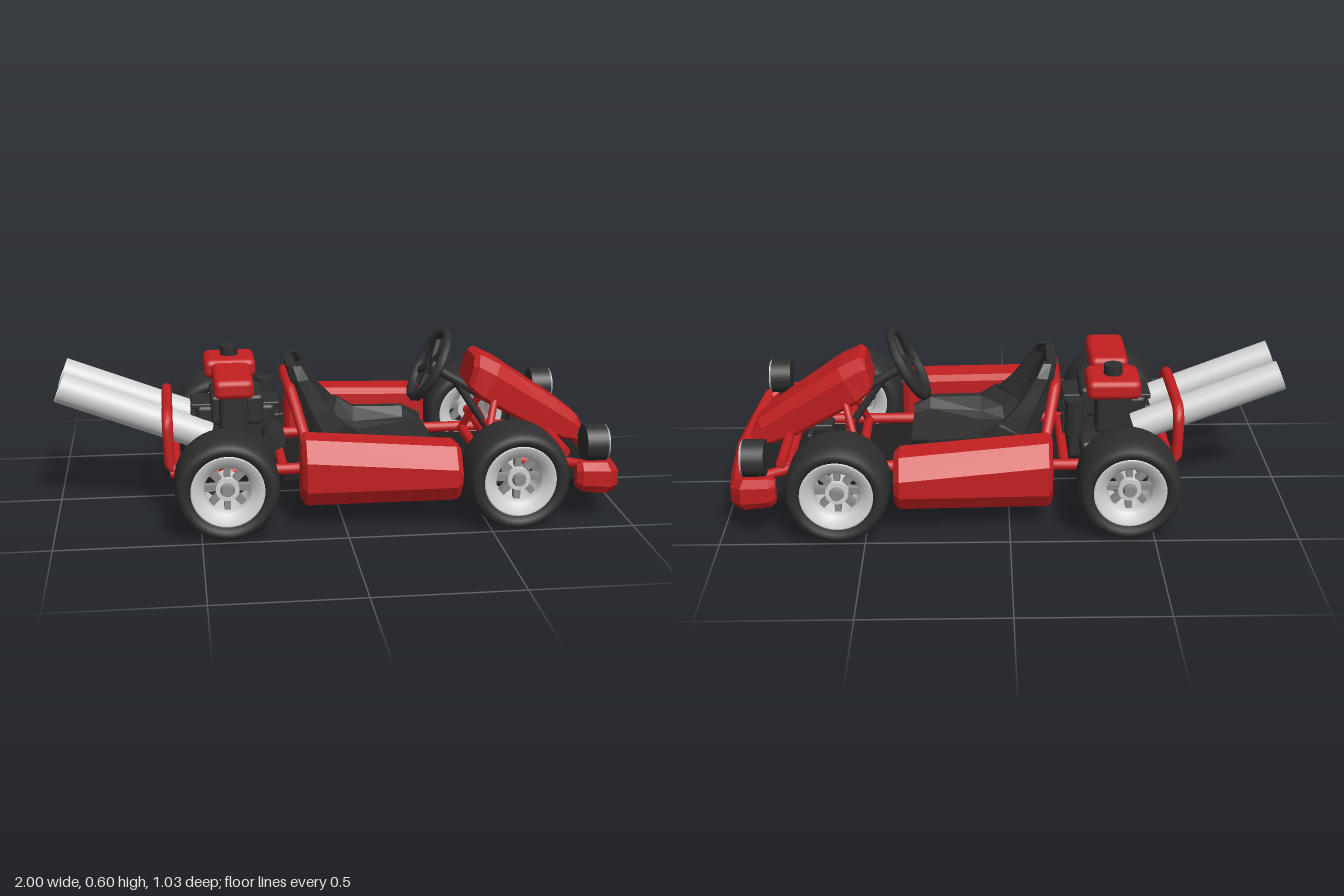
import * as THREE from 'three';
import { RoundedBoxGeometry } from 'three/addons/geometries/RoundedBoxGeometry.js';

const V = (x, y, z) => new THREE.Vector3(x, y, z);

// Faceted solid through rings of equal length; rings are capped by pairing their ends.
function loft(rings) {
  const pos = [];
  const tri = (a, b, c) => pos.push(a, b, c);
  const quad = (a, b, c, d) => { tri(a, b, c); tri(a, c, d); };
  const n = rings[0].length;
  for (let s = 0; s < rings.length - 1; s++) {
    for (let i = 0; i < n; i++) {
      const j = (i + 1) % n;
      quad(rings[s][i], rings[s][j], rings[s + 1][j], rings[s + 1][i]);
    }
  }
  const first = rings[0], last = rings[rings.length - 1];
  for (let i = 0; i < n / 2 - 1; i++) {
    quad(first[n - 1 - i], first[n - 2 - i], first[i + 1], first[i]);
    quad(last[i], last[i + 1], last[n - 2 - i], last[n - 1 - i]);
  }
  // Turn the faces outward
  let volume = 0;
  for (let i = 0; i < pos.length; i += 3) volume += pos[i].dot(pos[i + 1].clone().cross(pos[i + 2]));
  if (volume < 0) pos.reverse();
  const g = new THREE.BufferGeometry().setFromPoints(pos);
  g.computeVertexNormals();
  return g;
}

export function createModel() {
  const kart = new THREE.Group();
  kart.name = 'goKart';
  const mat = (name, color, side = THREE.FrontSide) => {
    const m = new THREE.MeshStandardMaterial({ color, side });
    m.name = name;
    return m;
  };
  const red = mat('red', 0xc41f21);
  const black = mat('black', 0x2f2f2f);
  const floorBlack = mat('floorBlack', 0x202020);
  const silver = mat('silver', 0xd2d2d2, THREE.DoubleSide);
  const steel = mat('steel', 0x8c8c8c);

  const add = (name, geo, material, x = 0, y = 0, z = 0, parent = kart) => {
    const m = new THREE.Mesh(geo, material);
    m.name = name;
    m.position.set(x, y, z);
    parent.add(m);
    return m;
  };
  const box = (name, material, x0, x1, y0, y1, z0, z1, r = 0.015) =>
    add(name, new RoundedBoxGeometry(x1 - x0, y1 - y0, z1 - z0, 2, r), material,
      (x0 + x1) / 2, (y0 + y1) / 2, (z0 + z1) / 2);
  const rod = (name, a, b, r, material, open = false, sides = 16) => {
    const d = b.clone().sub(a);
    const m = add(name, new THREE.CylinderGeometry(r, r, d.length(), sides, 1, open), material);
    m.position.copy(a).add(b).multiplyScalar(0.5);
    m.quaternion.setFromUnitVectors(V(0, 1, 0), d.normalize());
    return m;
  };
  const tube = (name, pts, r, material) =>
    add(name, new THREE.TubeGeometry(new THREE.CatmullRomCurve3(pts, false, 'catmullrom', 0.2), 40, r, 10), material);

  // Wheels
  const lathe = (pts) => new THREE.LatheGeometry(pts.map(p => new THREE.Vector2(...p)), 40).rotateX(Math.PI / 2);
  const tireGeo = lathe([[0.122, -0.085], [0.14, -0.1], [0.158, -0.1], [0.171, -0.088], [0.178, -0.06], [0.18, 0],
    [0.178, 0.06], [0.171, 0.088], [0.158, 0.1], [0.14, 0.1], [0.122, 0.085], [0.122, -0.085]]);
  const rimGeo = lathe([[0.126, -0.09], [0.12, -0.094], [0.083, -0.078], [0.078, -0.05], [0.078, 0.05],
    [0.083, 0.078], [0.12, 0.094], [0.126, 0.09]]);
  const spokeGeo = new THREE.BoxGeometry(0.022, 0.05, 0.03).translate(0, 0.057, 0);
  const hubGeo = new THREE.CylinderGeometry(0.04, 0.04, 0.1, 20).rotateX(Math.PI / 2);
  const capGeo = new THREE.CylinderGeometry(0.02, 0.026, 0.02, 16).rotateX(Math.PI / 2);
  for (const [end, x, zc] of [['rear', -0.41, 0.405], ['front', 0.592, 0.413]]) {
    for (const s of [1, -1]) {
      const wheel = new THREE.Group();
      wheel.name = end + (s > 0 ? 'LeftSideWheel' : 'RightSideWheel');
      wheel.position.set(x, 0.184, s * zc);
      wheel.rotation.y = s > 0 ? 0 : Math.PI;
      kart.add(wheel);
      add('tire', tireGeo, black, 0, 0, 0, wheel);
      add('rim', rimGeo, silver, 0, 0, 0, wheel);
      add('hub', hubGeo, silver, 0, 0, 0.015, wheel);
      add('hubCap', capGeo, steel, 0, 0, 0.072, wheel);
      for (let i = 0; i < 8; i++) {
        add('spoke', spokeGeo, steel, 0, 0, 0.03, wheel).rotation.z = i * Math.PI / 4;
      }
    }
    rod(end + 'Axle', V(x, 0.184, -zc + 0.03), V(x, 0.184, zc - 0.03), 0.02, red);
  }

  // Tubular frame
  for (const s of [1, -1]) {
    rod('sideRail', V(-0.6, 0.165, s * 0.217), V(0.8, 0.165, s * 0.217), 0.02, red);
    rod('noseStrut', V(0.53, 0.165, s * 0.2), V(0.6, 0.4, s * 0.07), 0.014, red);
    rod('bumperBrace', V(0.76, 0.165, s * 0.217), V(0.88, 0.165, s * 0.3), 0.018, red);
    rod('podBrace', V(0.1, 0.165, s * 0.2), V(0.1, 0.165, s * 0.36), 0.016, red);
    rod('tieRod', V(0.62, 0.2, s * 0.34), V(0.57, 0.26, s * 0.03), 0.01, red);
  }
  for (const x of [-0.58, -0.2, 0.53, 0.79]) {
    rod('crossBar', V(x, 0.165, -0.217), V(x, 0.165, 0.217), 0.018, red);
  }
  rod('frontCrossTube', V(0.8, 0.22, -0.31), V(0.8, 0.22, 0.31), 0.018, red);
  tube('rearHoop', [V(-0.55, 0.165, 0.217), V(-0.6, 0.19, 0.217), V(-0.605, 0.33, 0.21), V(-0.605, 0.37, 0.16),
    V(-0.605, 0.37, -0.16), V(-0.605, 0.33, -0.21), V(-0.6, 0.19, -0.217), V(-0.55, 0.165, -0.217)], 0.02, red);
  tube('seatHoop', [V(-0.12, 0.2, 0.29), V(-0.13, 0.3, 0.28), V(-0.165, 0.43, 0.15), V(-0.17, 0.44, 0.1),
    V(-0.17, 0.44, -0.1), V(-0.165, 0.43, -0.15), V(-0.13, 0.3, -0.28), V(-0.12, 0.2, -0.29)], 0.02, red);

  // Floor pan, widening inside the bumper
  const pan = new THREE.Shape();
  [[-0.2, 0.21], [0.7, 0.21], [0.82, 0.41], [0.9, 0.41], [0.945, 0.3], [0.945, -0.3],
    [0.9, -0.41], [0.82, -0.41], [0.7, -0.21], [-0.2, -0.21]].forEach(([x, z], i) => i ? pan.lineTo(x, z) : pan.moveTo(x, z));
  add('floorPan', new THREE.ExtrudeGeometry(pan, { depth: 0.025, bevelEnabled: false }).rotateX(Math.PI / 2),
    floorBlack, 0, 0.145, 0);

  // Front bumper: [outer x, outer z, inner x, inner z, bottom, top]
  const half = [[0.805, 0.45, 0.805, 0.415, 0.135, 0.215], [0.825, 0.465, 0.82, 0.405, 0.12, 0.225],
    [0.925, 0.455, 0.89, 0.4, 0.105, 0.22], [0.965, 0.41, 0.915, 0.37, 0.1, 0.205], [0.985, 0.25, 0.925, 0.25, 0.1, 0.19]];
  const mirrored = half.slice().reverse().map(([a, b, c, d, e, f]) => [a, -b, c, -d, e, f]);
  add('frontBumper', loft([...half, [1, 0, 0.93, 0, 0.1, 0.19], ...mirrored].map(([xo, zo, xi, zi, y0, y1]) => {
    const at = (t, y) => V(xi + (xo - xi) * t, y0 + (y1 - y0) * y, zi + (zo - zi) * t);
    return [at(0, 0.1), at(0.15, 0), at(0.7, 0), at(1, 0.25), at(1, 0.75), at(0.7, 1), at(0.15, 1), at(0, 0.9)];
  })), red);

  // Nose cone: [top x, top y, bottom x, bottom y, half width]
  add('noseCone', loft([[0.515, 0.515, 0.49, 0.41, 0.09], [0.535, 0.525, 0.505, 0.39, 0.105], [0.61, 0.488, 0.54, 0.36, 0.112],
    [0.835, 0.337, 0.77, 0.225, 0.08], [0.915, 0.275, 0.86, 0.19, 0.07], [0.945, 0.215, 0.93, 0.18, 0.065]]
    .map(([xt, yt, xb, yb, w]) => {
      const at = (z, t) => V(xb + (xt - xb) * t, yb + (yt - yb) * t, z * w);
      return [at(-0.9, 0), at(-1, 0.1), at(-1, 0.72), at(-0.68, 1), at(0.68, 1), at(1, 0.72), at(1, 0.1), at(0.9, 0)];
    })), red);

  for (const s of [1, -1]) {
    // Side pods: [x, inner z, outer z, bottom, top]
    add('sidePod', loft([[-0.15, 0.285, 0.41, 0.105, 0.31], [-0.135, 0.265, 0.432, 0.09, 0.322],
      [0.38, 0.31, 0.482, 0.108, 0.295], [0.4, 0.325, 0.465, 0.12, 0.28]].map(([x, zi, zo, y0, y1]) =>
      [[zi, y0 + 0.02], [zi, y1 - 0.02], [zi + 0.02, y1], [zo - 0.05, y1],
        [zo, y1 - 0.07], [zo, y0 + 0.055], [zo - 0.035, y0], [zi + 0.02, y0]].map(([z, y]) => V(x, y, s * z)))), red);

    // Headlights
    rod('headlightShell', V(0.84, 0.278, s * 0.385), V(0.915, 0.278, s * 0.385), 0.065, black, false, 28);
    rod('headlightLens', V(0.915, 0.278, s * 0.385), V(0.923, 0.278, s * 0.385), 0.058, silver, false, 28);
    rod('headlightRing', V(0.9, 0.278, s * 0.385), V(0.919, 0.278, s * 0.385), 0.064, steel, true, 28);
    rod('headlightStem', V(0.875, 0.14, s * 0.385), V(0.875, 0.23, s * 0.385), 0.02, black);

    // Pedals
    box('pedal', black, 0.7, 0.72, 0.17, 0.28, s * 0.16 - 0.035, s * 0.16 + 0.035, 0.008);
    box('pedalBase', black, 0.66, 0.75, 0.15, 0.18, s * 0.16 - 0.04, s * 0.16 + 0.04, 0.008);

    // Exhaust pipes
    rod('exhaustPipe', V(-0.98, 0.46, s * 0.105), V(-0.46, 0.26, s * 0.105), 0.054, silver, true, 28);
  }

  // Bucket seat: [x, y, normal x, normal y, half width, side height]
  add('seat', loft([[0.35, 0.2, 0, 1, 0.17, 0.045], [0.29, 0.185, 0, 1, 0.215, 0.08], [0.1, 0.16, 0, 1, 0.212, 0.11],
    [0, 0.165, 0.25, 0.97, 0.205, 0.15], [-0.09, 0.23, 0.8, 0.6, 0.195, 0.14], [-0.13, 0.34, 0.97, 0.25, 0.18, 0.105],
    [-0.165, 0.46, 0.98, 0.2, 0.155, 0.065], [-0.175, 0.51, 0.99, 0.1, 0.12, 0.05]].map(([x, y, nx, ny, w, h]) => {
    const at = (z, t) => V(x + nx * t, y + ny * t, z);
    const side = [at(w * 0.75, 0), at(w * 0.95, h * 0.4), at(w, h)];
    const inside = [at(w - 0.03, h), at(w * 0.78, h * 0.5), at(w * 0.6, 0.035)];
    const flip = (l) => l.map(p => V(p.x, p.y, -p.z)).reverse();
    return [...flip(side), ...side, ...inside, ...flip(inside)];
  })), black);

  // Steering wheel and column
  const steering = new THREE.Group();
  steering.name = 'steeringWheel';
  steering.position.set(0.36, 0.475, 0);
  steering.quaternion.setFromUnitVectors(V(0, 0, 1), V(0.88, -0.475, 0).normalize());
  kart.add(steering);
  add('steeringRim', new THREE.TorusGeometry(0.131, 0.018, 8, 20), black, 0, 0, 0, steering);
  add('steeringHub', new THREE.CylinderGeometry(0.035, 0.035, 0.03, 16).rotateX(Math.PI / 2), black, 0, 0, 0.015, steering);
  for (let i = 0; i < 5; i++) {
    add('steeringSpoke', new THREE.BoxGeometry(0.024, 0.12, 0.014).translate(0, 0.07, 0), black, 0, 0, 0.005, steering)
      .rotation.z = i * Math.PI * 0.4;
  }
  rod('steeringColumn', V(0.36, 0.475, 0), V(0.6, 0.33, 0), 0.018, black);
  rod('steeringShaft', V(0.46, 0.41, 0), V(0.62, 0.17, 0), 0.014, black);

  // Engine
  box('engineBlock', black, -0.5, -0.22, 0.13, 0.37, -0.09, 0.1);
  box('engineHead', black, -0.45, -0.26, 0.3, 0.41, -0.1, 0.11);
  box('engineMount', black, -0.47, -0.26, 0.17, 0.24, -0.2, 0.2);
  for (let i = 0; i < 4; i++) {
    box('coolingFin', black, -0.52, -0.2, 0.22 + i * 0.045, 0.24 + i * 0.045, -0.07, 0.08, 0.006);
  }
  box('tankNeck', black, -0.43, -0.31, 0.28, 0.44, -0.21, -0.1);
  box('airBoxNeck', black, -0.42, -0.32, 0.28, 0.44, 0.06, 0.2);
  box('fuelTank', red, -0.465, -0.275, 0.425, 0.495, -0.255, -0.07, 0.022);
  box('airBox', red, -0.44, -0.3, 0.43, 0.5, -0.035, 0.24, 0.022);
  rod('fuelCap', V(-0.37, 0.49, -0.165), V(-0.37, 0.53, -0.165), 0.033, black);
  rod('airFilter', V(-0.235, 0.27, -0.175), V(-0.235, 0.4, -0.175), 0.035, black);
  rod('filterArm', V(-0.235, 0.31, -0.175), V(-0.28, 0.31, -0.06), 0.022, black);
  rod('pulley', V(-0.23, 0.27, 0.1), V(-0.23, 0.27, 0.2), 0.04, black);

  return kart;
}
